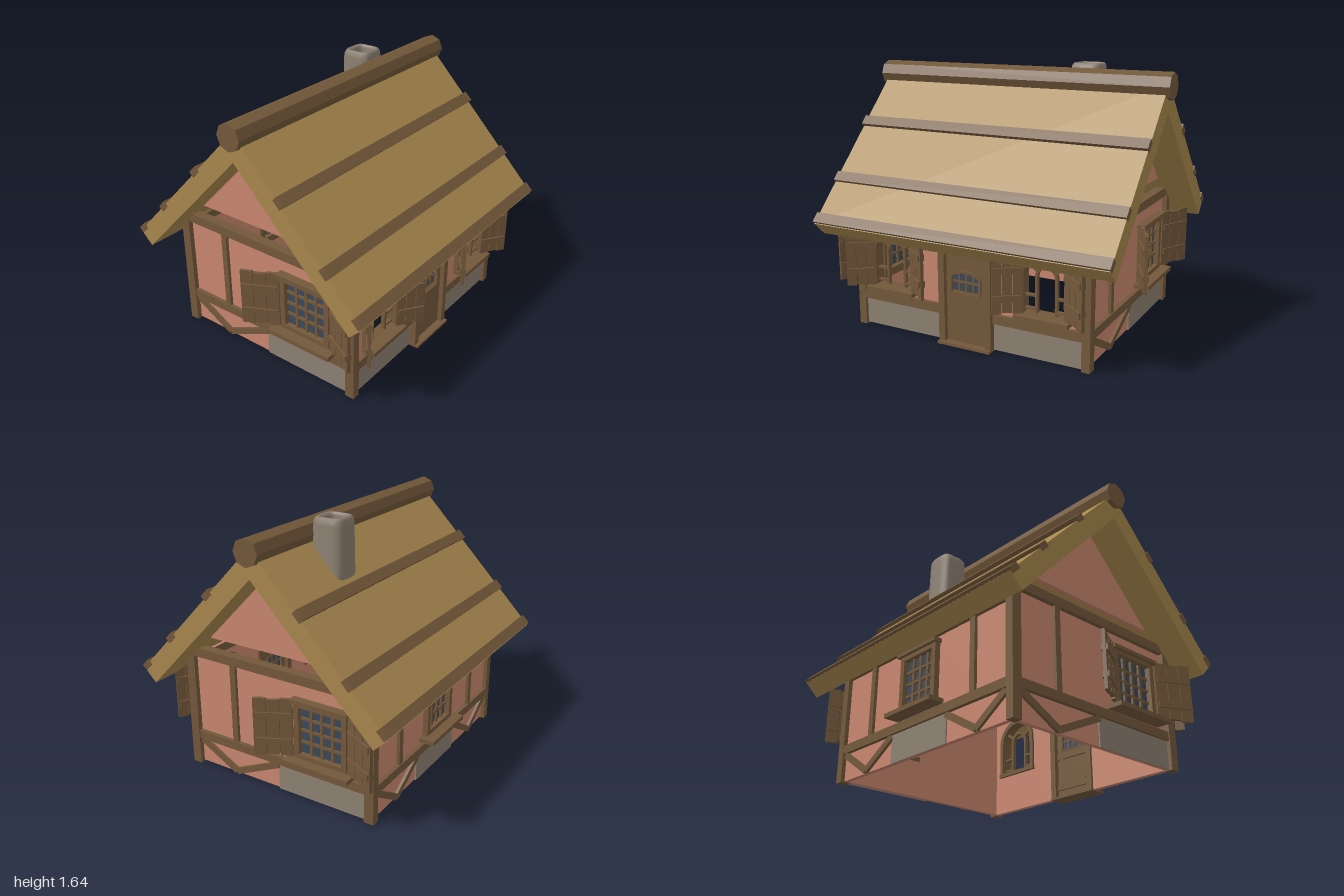
import * as THREE from 'three';

const mat = (name, color) => {
  const m = new THREE.MeshStandardMaterial({ color });
  m.name = name;
  return m;
};

export function createModel() {
  const wood = mat('timber brown', 0x73583a);
  const thatch = mat('thatch straw', 0xa8874e);
  const plaster = mat('pink plaster', 0xc9866f);
  const stone = mat('grey stone', 0x8d8072);
  const glass = mat('dark blue glass', 0x3a485a);

  const root = new THREE.Group();
  root.name = 'cottage';

  const add = (parent, name, geo, material) => {
    const m = new THREE.Mesh(geo, material);
    m.name = name;
    parent.add(m);
    return m;
  };
  // box given by its limits on each axis
  const box = (parent, name, material, x0, x1, y0, y1, z0, z1) => {
    const m = add(parent, name, new THREE.BoxGeometry(x1 - x0, y1 - y0, z1 - z0), material);
    m.position.set((x0 + x1) / 2, (y0 + y1) / 2, (z0 + z1) / 2);
    return m;
  };
  // slanted bar between two points of a wall
  const bar = (parent, name, x0, y0, x1, y1, thick, z0, z1) => {
    const len = Math.hypot(x1 - x0, y1 - y0);
    const m = add(parent, name, new THREE.BoxGeometry(len, thick, z1 - z0), wood);
    m.position.set((x0 + x1) / 2, (y0 + y1) / 2, (z0 + z1) / 2);
    m.rotation.z = Math.atan2(y1 - y0, x1 - x0);
  };
  const extrude = (parent, name, material, shape, z0, z1) => {
    const geo = new THREE.ExtrudeGeometry(shape, { depth: z1 - z0, bevelEnabled: false, curveSegments: 14 });
    return add(parent, name, geo.translate(0, 0, z0), material);
  };
  const arch = (path, cx, hw, y0, spring, rise) => {
    path.moveTo(cx - hw, y0);
    path.lineTo(cx + hw, y0);
    path.lineTo(cx + hw, spring);
    path.absellipse(cx, spring, hw, rise, 0, Math.PI, false);
    return path;
  };
  const rect = (path, x0, x1, y0, y1) => {
    path.moveTo(x0, y0);
    path.lineTo(x1, y0);
    path.lineTo(x1, y1);
    path.lineTo(x0, y1);
    path.closePath();
    return path;
  };
  const archFrame = (parent, name, cx, hw, y0, spring, rise, t, z0, z1) => {
    const s = arch(new THREE.Shape(), cx, hw, y0, spring, rise);
    s.holes.push(arch(new THREE.Path(), cx, hw - t, y0 + 0.004, spring, rise - t));
    extrude(parent, name, wood, s, z0, z1);
  };

  // wall groups: local x runs along the wall, local z = 0 is the outer plaster face
  const makeWall = (name, angle, dist, half, top, holes) => {
    const g = new THREE.Group();
    g.name = name;
    g.rotation.y = angle;
    g.position.set(Math.sin(angle) * dist, 0, Math.cos(angle) * dist);
    root.add(g);
    const s = rect(new THREE.Shape(), -half, half, 0.008, top);
    s.holes.push(...holes);
    extrude(g, 'plasterWall', plaster, s, -0.03, 0);
    return g;
  };

  // open shutter hinged at x = u, swinging outward
  const shutter = (wall, u, dir, len, angle) => {
    const g = new THREE.Group();
    g.name = 'shutter';
    g.position.set(u, 0, 0.03);
    g.rotation.y = -dir * angle;
    wall.add(g);
    const pw = len / 3;
    for (let i = 0; i < 3; i++) {
      const c = dir * (i + 0.5) * pw, dy = i === 1 ? 0.008 : 0;
      box(g, 'shutterPlank', wood, c - pw / 2 + 0.002, c + pw / 2 - 0.002, 0.285 + dy, 0.65 - dy, -0.01, 0.01);
    }
    for (const y of [0.36, 0.525]) {
      const m = box(g, 'shutterBatten', wood, 0.012, len - 0.012, y, y + 0.038, -0.02, 0.02);
      m.position.x *= dir;
    }
  };

  // square glazed window
  const window4 = (wall, cx, hw) => {
    const y0 = 0.27, y1 = 0.64, t = 0.035;
    const s = rect(new THREE.Shape(), cx - hw, cx + hw, y0, y1);
    s.holes.push(rect(new THREE.Path(), cx - hw + t, cx + hw - t, y0 + t, y1 - t));
    extrude(wall, 'windowFrame', wood, s, -0.045, 0.035);
    box(wall, 'windowGlass', glass, cx - hw + t, cx + hw - t, y0 + t, y1 - t, -0.008, 0);
    for (let i = 1; i < 4; i++) {
      const x = cx - hw + t + (i / 4) * 2 * (hw - t), y = y0 + t + (i / 4) * (y1 - y0 - 2 * t);
      box(wall, 'windowBar', wood, x - 0.009, x + 0.009, y0 + t, y1 - t, -0.02, 0.014);
      box(wall, 'windowBar', wood, cx - hw + t, cx + hw - t, y - 0.008, y + 0.008, -0.018, 0.012);
    }
    box(wall, 'windowLintel', wood, cx - hw - 0.015, cx + hw + 0.015, 0.632, 0.655, -0.03, 0.055);
    box(wall, 'windowSill', wood, cx - hw - 0.045, cx + hw + 0.045, 0.25, 0.277, -0.04, 0.1);
  };
  // pair of braces meeting at the foot
  const vBrace = (wall, a, mid, b) => {
    bar(wall, 'brace', a, 0.17, mid, 0.022, 0.04, -0.005, 0.018);
    bar(wall, 'brace', b, 0.17, mid, 0.022, 0.04, -0.005, 0.018);
  };
  const windowHole = (cx, hw) => rect(new THREE.Path(), cx - hw + 0.01, cx + hw - 0.01, 0.28, 0.63);

  // side walls, the same when turned half round
  for (const side of [1, -1]) {
    const w = makeWall(side > 0 ? 'leftWall' : 'rightWall', side * Math.PI / 2, 0.765, 0.64, 0.76, [windowHole(0.315, 0.18)]);
    box(w, 'stoneBase', stone, 0, 0.615, 0.004, 0.18, 0, 0.008);
    box(w, 'middleBeam', wood, -0.615, 0.615, 0.178, 0.233, -0.005, 0.025);
    box(w, 'topBeam', wood, -0.615, 0.615, 0.745, 0.803, -0.035, 0.028);
    box(w, 'stud', wood, -0.34, -0.3, 0.233, 0.745, -0.005, 0.02);
    vBrace(w, -0.6, -0.325, 0.0);
    window4(w, 0.315, 0.18);
    shutter(w, 0.13, -1, 0.235, 0.47);
    shutter(w, 0.51, 1, 0.235, 0.47);
    // gable triangle above the open gap
    const s = new THREE.Shape();
    s.moveTo(-0.5, 0.88);
    s.lineTo(0.5, 0.88);
    s.lineTo(0, 1.395);
    s.closePath();
    extrude(w, 'gable', plaster, s, -0.03, 0);
  }

  // back wall
  const back = makeWall('backWall', Math.PI, 0.645, 0.765, 0.735, [windowHole(0, 0.165)]);
  box(back, 'stoneBase', stone, -0.25, 0.25, 0.004, 0.18, 0, 0.008);
  box(back, 'middleBeam', wood, -0.75, 0.75, 0.178, 0.233, -0.005, 0.025);
  box(back, 'topBeam', wood, -0.75, 0.75, 0.68, 0.735, -0.035, 0.025);
  window4(back, 0, 0.165);
  for (const s of [1, -1]) {
    box(back, 'stud', wood, s * 0.47 - 0.02, s * 0.47 + 0.02, 0.233, 0.68, -0.005, 0.02);
    vBrace(back, s * 0.73, s * 0.5, s * 0.25);
  }

  // front wall with two open arched windows and a door
  const doorHole = arch(new THREE.Path(), 0, 0.15, 0.01, 0.54, 0.08);
  const archHole = (cx) => arch(new THREE.Path(), cx, 0.15, 0.285, 0.5, 0.15);
  const front = makeWall('frontWall', 0, 0.645, 0.765, 0.735, [doorHole, archHole(0.515), archHole(-0.515)]);
  box(front, 'topBeam', wood, -0.75, 0.75, 0.68, 0.735, -0.035, 0.025);
  for (const s of [1, -1]) {
    const cx = s * 0.515, a = s > 0 ? 0.17 : -0.75, b = s > 0 ? 0.75 : -0.17;
    box(front, 'stoneBase', stone, a, b, 0.008, 0.18, 0, 0.008);
    box(front, 'middleBeam', wood, a, b, 0.176, 0.233, -0.005, 0.025);
    archFrame(front, 'archedWindowFrame', cx, 0.165, 0.275, 0.5, 0.165, 0.03, -0.045, 0.03);
    archFrame(front, 'innerArch', cx, 0.07, 0.28, 0.505, 0.07, 0.016, -0.02, 0.005);
    for (const d of [1, -1]) {
      for (const y of [0.31, 0.39]) {
        bar(front, 'windowBar', cx + d * 0.06, y, cx + d * 0.14, y, 0.014, -0.018, 0.004);
      }
      bar(front, 'windowBar', cx + d * 0.052, 0.535, cx + d * 0.125, 0.59, 0.016, -0.018, 0.004);
      shutter(front, cx + d * 0.13, d, 0.185, 0.6);
    }
    box(front, 'windowSill', wood, cx - 0.17, cx + 0.17, 0.262, 0.287, -0.05, 0.09);
  }

  // door
  archFrame(front, 'doorFrame', 0, 0.178, 0, 0.545, 0.11, 0.042, -0.045, 0.05);
  const leaf = arch(new THREE.Shape(), 0, 0.138, 0.01, 0.545, 0.066);
  leaf.holes.push(arch(new THREE.Path(), -0.005, 0.095, 0.335, 0.42, 0.035));
  extrude(front, 'doorLeaf', wood, leaf, -0.015, 0.02);
  extrude(front, 'doorGlass', glass, arch(new THREE.Shape(), -0.005, 0.095, 0.335, 0.42, 0.035), -0.004, 0.004);
  archFrame(front, 'doorWindowTrim', -0.005, 0.108, 0.325, 0.42, 0.05, 0.016, -0.02, 0.03);
  for (const x of [-0.053, -0.005, 0.043]) box(front, 'doorWindowBar', wood, x - 0.006, x + 0.006, 0.335, 0.455, -0.01, 0.012);
  box(front, 'doorWindowBar', wood, -0.1, 0.09, 0.388, 0.4, -0.01, 0.012);
  box(front, 'doorLedge', wood, -0.13, 0.13, 0.06, 0.1, -0.028, -0.012);
  box(front, 'doorLedge', wood, -0.13, 0.13, 0.27, 0.31, -0.028, -0.012);
  bar(front, 'doorDiagonal', -0.11, 0.1, 0.11, 0.27, 0.035, -0.027, -0.012);
  box(front, 'threshold', wood, -0.178, 0.178, 0, 0.016, -0.05, 0.07);

  // corner posts
  for (const x of [-0.77, 0.77]) for (const z of [-0.641, 0.641]) {
    box(root, 'cornerPost', wood, x - 0.026, x + 0.026, 0, 0.76, z - 0.031, z + 0.031);
  }

  // thatched roof, strips and ridge log
  const roof = new THREE.Shape([
    [0, 1.555], [0.854, 0.678], [0.77, 0.596], [0, 1.385], [-0.77, 0.596], [-0.854, 0.678],
  ].map(([z, y]) => new THREE.Vector2(z, y)));
  extrude(root, 'thatchRoof', thatch, roof, -0.972, 0.972).rotation.y = Math.PI / 2;
  const slope = Math.atan2(0.877, 0.854);
  for (const s of [1, -1]) for (const [z, y] of [[0.312, 1.241], [0.612, 0.925], [0.825, 0.704]]) {
    const strip = add(root, 'roofStrip', new THREE.BoxGeometry(1.952, 0.04, 0.068), wood);
    strip.position.set(0, y, s * z);
    strip.rotation.x = s * slope;
  }
  const log = new THREE.CylinderGeometry(0.082, 0.082, 2, 8).toNonIndexed();
  log.computeVertexNormals();
  const ridge = add(root, 'ridgeLog', log, wood);
  ridge.rotation.z = Math.PI / 2;
  ridge.position.y = 1.537;

  // hollow chimney lofted from rounded squares: [half width, height]
  const profile = [[0.106, 0.87], [0.094, 1.595], [0.09, 1.625], [0.08, 1.64], [0.068, 1.638], [0.06, 1.62], [0.058, 0.87]];
  const N = 24, pos = [], idx = [];
  profile.forEach(([h, y], r) => {
    for (let i = 0; i < N; i++) {
      const t = (i / N) * Math.PI * 2, c = Math.cos(t), s = Math.sin(t);
      const k = h / Math.pow(c ** 6 + s ** 6, 1 / 6);
      pos.push(k * c, y, k * s);
      const a = r * N + i, b = r * N + (i + 1) % N;
      if (r < profile.length - 1) idx.push(a, a + N, b, b, a + N, b + N);
    }
  });
  const tube = new THREE.BufferGeometry();
  tube.setAttribute('position', new THREE.Float32BufferAttribute(pos, 3));
  tube.setIndex(idx);
  tube.computeVertexNormals();
  add(root, 'chimney', tube, stone).position.set(0.405, 0, -0.162);

  return root;
}
